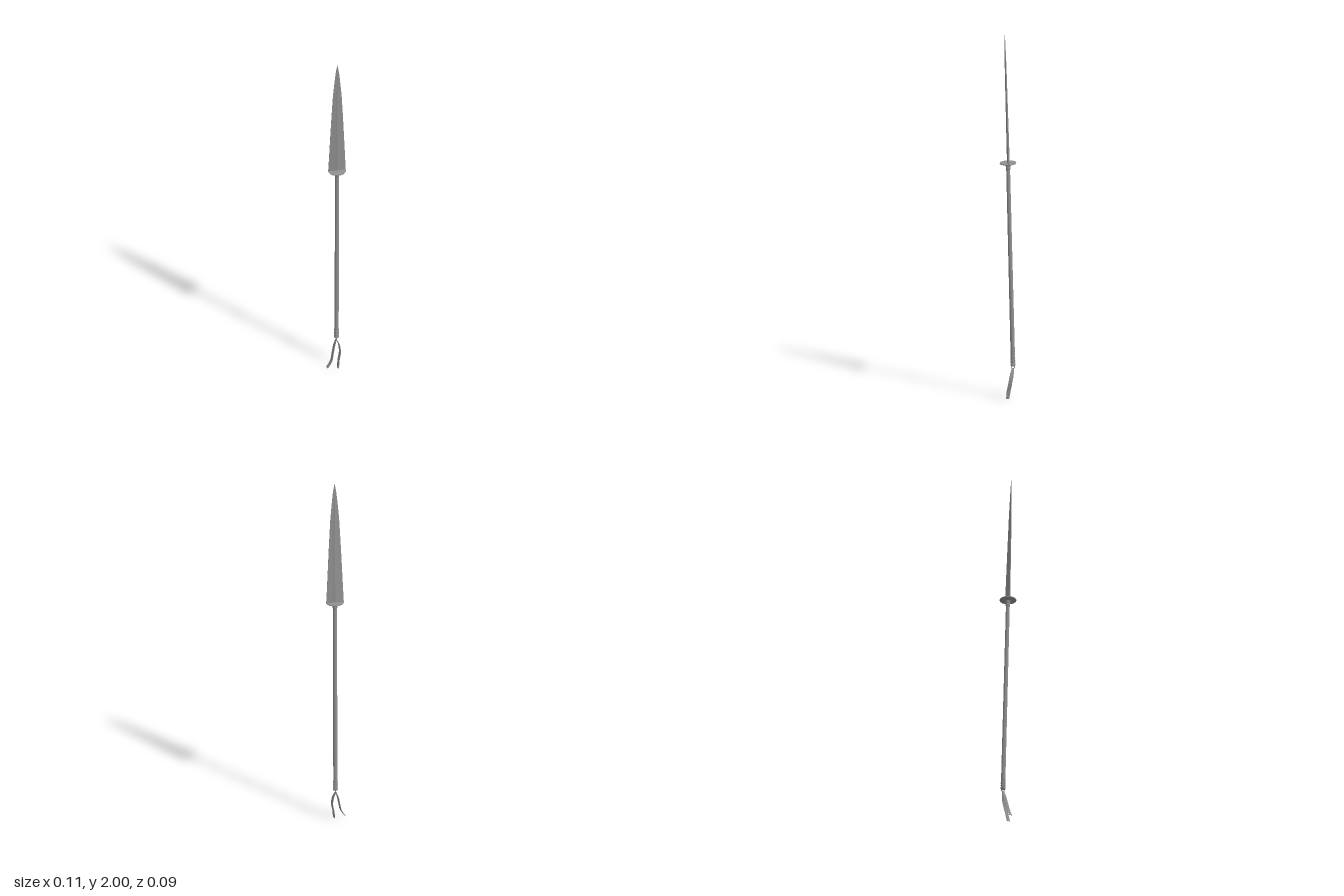
import * as THREE from 'three';
import { toCreasedNormals } from 'three/addons/utils/BufferGeometryUtils.js';

const material = new THREE.MeshStandardMaterial({ color: 0x929292 });

function add(parent, name, geometry, x = 0, y = 0, z = 0) {
  const mesh = new THREE.Mesh(geometry, material);
  mesh.name = name;
  mesh.position.set(x, y, z);
  parent.add(mesh);
  return mesh;
}

function lathe(points, sides) {
  const geometry = new THREE.LatheGeometry(points.map(([r, y]) => new THREE.Vector2(r, y)), sides);
  return toCreasedNormals(geometry, 0.6);
}

// Blade lofted from cross-sections: narrow square edges, flat faces, raised middle ridge
function bladeGeometry() {
  // height, half width, ridge height
  const sections = [
    [0, 0.0475, 0.0075], [0.1, 0.043, 0.007], [0.2, 0.0385, 0.0065], [0.3, 0.034, 0.006],
    [0.4, 0.029, 0.0055], [0.5, 0.0235, 0.005], [0.58, 0.0165, 0.004], [0.64, 0.0105, 0.003],
    [0.68, 0.005, 0.002], [0.704, 0.0003, 0.0003],
  ];
  // fractions of half width and ridge height, counter-clockwise from above
  const ring = [[1, 0.25], [1, -0.25], [0.55, -0.45], [0.18, -0.65], [0, -1], [-0.18, -0.65], [-0.55, -0.45],
    [-1, -0.25], [-1, 0.25], [-0.55, 0.45], [-0.18, 0.65], [0, 1], [0.18, 0.65], [0.55, 0.45]];
  const n = ring.length, positions = [], index = [];
  for (const [y, w, d] of sections) for (const [a, b] of ring) positions.push(a * w, y, b * d);
  for (let s = 0; s < sections.length - 1; s++) {
    for (let i = 0; i < n; i++) {
      const a = s * n + i, b = s * n + (i + 1) % n;
      index.push(a, b, b + n, a, b + n, a + n);
    }
  }
  // close both ends
  const top = (sections.length - 1) * n;
  for (let i = 1; i < n - 1; i++) {
    index.push(0, i + 1, i);
    index.push(top, top + i, top + i + 1);
  }
  const geometry = new THREE.BufferGeometry();
  geometry.setAttribute('position', new THREE.Float32BufferAttribute(positions, 3));
  geometry.setIndex(index);
  return toCreasedNormals(geometry, 0.3);
}

// Thin strip bent along a hanging curve
function ribbonGeometry(points) {
  const curve = new THREE.CatmullRomCurve3(points.map((p) => new THREE.Vector3(...p)));
  const geometry = new THREE.BoxGeometry(0.003, 1, 0.018, 1, 20, 1);
  const pos = geometry.attributes.position;
  for (let i = 0; i < pos.count; i++) {
    const t = 0.5 - pos.getY(i);
    const p = curve.getPoint(t);
    const spread = 0.6 + 0.4 * Math.min(1, t * 4);
    const side = pos.getZ(i) * spread;
    pos.setXYZ(i, p.x + pos.getX(i) + side * 0.25, p.y, p.z + side);
  }
  geometry.computeVertexNormals();
  return geometry;
}

export function createModel() {
  const model = new THREE.Group();
  model.name = 'spear';

  // Rigid part, leaning slightly forward about the guard
  const body = new THREE.Group();
  body.name = 'body';
  body.position.set(0.0045, 1.295, -0.001);
  body.rotation.set(0.024, 0, 0.003);
  model.add(body);

  // Blade set slightly back and tipped a little further forward than the shaft
  const blade = add(body, 'blade', bladeGeometry(), 0, 0, -0.002);
  blade.rotation.x = 0.004;

  // Slightly oval guard disc with a thin rim
  const guard = lathe([[0, -0.006], [0.03, -0.005], [0.0465, -0.003], [0.048, 0],
    [0.0465, 0.003], [0.03, 0.002], [0, 0.003]], 32);
  guard.scale(1, 1, 0.93);
  add(body, 'guard', guard);

  // Shaft, thicker towards the butt
  add(body, 'shaft', new THREE.CylinderGeometry(0.0103, 0.0118, 1.11, 16), 0, -0.556);

  // Collar under the guard
  add(body, 'collar', lathe([[0.0105, -0.036], [0.0125, -0.032], [0.0125, -0.024],
    [0.0115, -0.022], [0.0135, -0.016], [0.0145, -0.005]], 16));

  // Cord wraps near the butt
  for (let i = 0; i < 5; i++) {
    const wrap = add(body, 'cordWrap', new THREE.TorusGeometry(0.0107, 0.0026, 8, 16), 0, -1.062 - i * 0.01);
    wrap.rotation.x = Math.PI / 2;
  }

  // Butt cap and the ring that holds the ribbons
  add(body, 'buttCap', lathe([[0, -1.115], [0.0115, -1.114], [0.013, -1.11], [0.013, -1.106], [0.0115, -1.104]], 16));
  const ring = add(body, 'ring', new THREE.TorusGeometry(0.008, 0.0018, 8, 20), 0, -1.121);
  ring.rotation.y = Math.PI / 2;

  // Two hanging ribbons
  add(model, 'rightRibbon', ribbonGeometry([[0.006, 0.17, -0.027], [-0.006, 0.135, -0.022],
    [-0.016, 0.09, -0.014], [-0.027, 0.045, -0.006], [-0.05, 0.008, -0.002]]));
  add(model, 'leftRibbon', ribbonGeometry([[0.006, 0.17, -0.027], [0.02, 0.135, -0.022],
    [0.023, 0.09, -0.014], [0.014, 0.045, -0.006], [0.009, 0, 0.002]]));

  return model;
}
